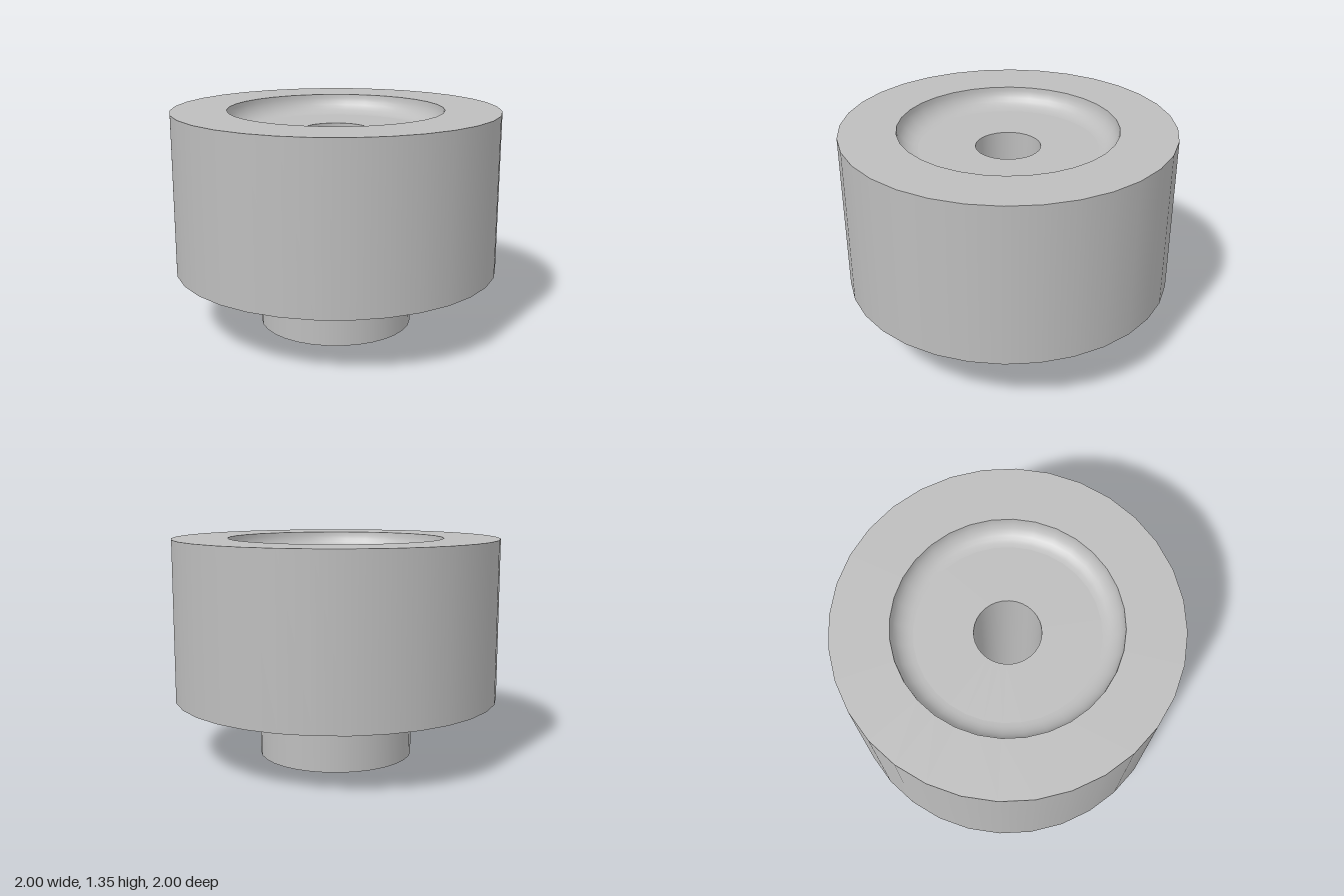
import * as THREE from 'three';

const SEGMENTS = 32;
const HOLE_R = 0.195, HUB_R = 0.475, DRUM_R = 1, RECESS_R = 0.66;
const DRUM_Y = 0.37, FLOOR_Y = 1.23, TOP_Y = 1.35;

export function createModel() {
  const model = new THREE.Group();
  const grey = new THREE.MeshStandardMaterial({ color: 0xbdbdbd });
  grey.name = 'plain grey';

  // Each surface is its own lathe, so edges between surfaces stay sharp
  const surface = (name, points) => {
    const profile = points.map(([r, y]) => new THREE.Vector2(r, y));
    const mesh = new THREE.Mesh(new THREE.LatheGeometry(profile, SEGMENTS), grey);
    mesh.name = name;
    model.add(mesh);
  };

  // Hub below the drum
  surface('hubBase', [[HOLE_R, 0], [HUB_R, 0]]);
  surface('hubSide', [[HUB_R, 0], [HUB_R, DRUM_Y]]);

  // Drum
  surface('drumUnderside', [[HUB_R, DRUM_Y], [DRUM_R, DRUM_Y]]);
  surface('drumSide', [[DRUM_R, DRUM_Y], [DRUM_R, TOP_Y]]);
  surface('drumRim', [[DRUM_R, TOP_Y], [RECESS_R, TOP_Y]]);

  // Recess whose wall rounds smoothly into a flat floor
  const depth = TOP_Y - FLOOR_Y;
  const recess = [];
  for (let i = 0; i <= 8; i++) {
    const a = (i / 8) * Math.PI / 2;
    recess.push([RECESS_R - depth + depth * Math.cos(a), TOP_Y - depth * Math.sin(a)]);
  }
  surface('recessWall', recess);
  surface('recessFloor', [[RECESS_R - depth, FLOOR_Y], [HOLE_R, FLOOR_Y]]);

  // Bore through the whole piece
  surface('bore', [[HOLE_R, FLOOR_Y], [HOLE_R, 0]]);

  return model;
}
